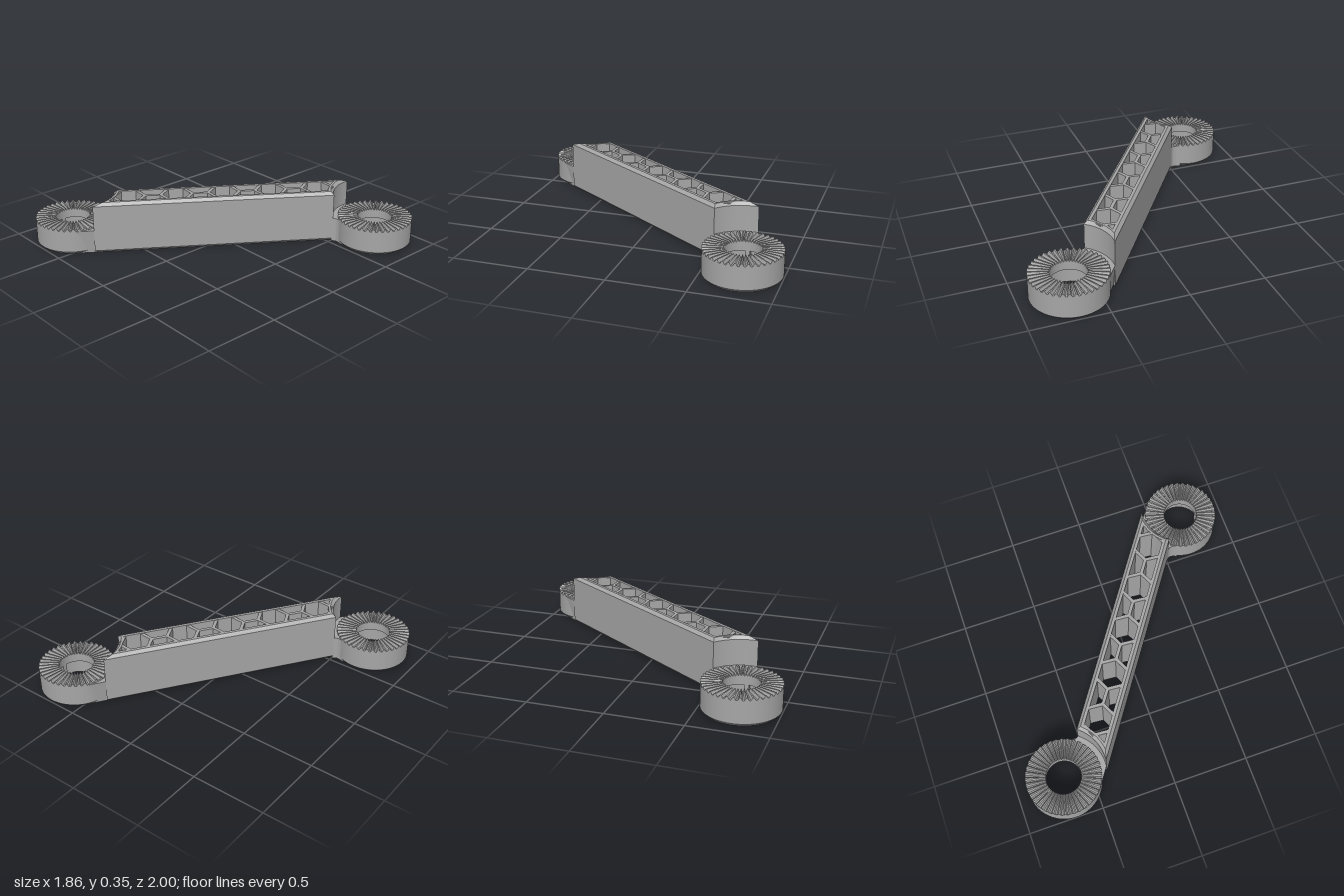
import * as THREE from 'three';
import { toCreasedNormals } from 'three/addons/utils/BufferGeometryUtils.js';

// Local frame: x runs along the arm, z across it; the whole is turned at the end.
const H = 0.355, W = 0.117, C = 0.02;         // arm height, half width, chamfer
const RX = 1.008, RZ = 0.13, R = 0.247;       // ring centre and outer radius
const HOLE = 0.115, BORE = 0.15, BORE_TOP = 0.11;
const TEETH = 40, PEAK = 0.184, VALLEY = 0.167;

const arcX = (z, r) => RX - Math.sqrt(r * r - (z - RZ) ** 2);

// Arm outline: straight sides, ends scooped out around the rings
function outline(w, r, n = 18) {
  const end = [];
  for (let i = 0; i <= n; i++) {
    const z = -w + (2 * w * i) / n;
    end.push([arcX(z, r), z]);
  }
  return [...end, ...end.map(([x, z]) => [-x, -z])];
}

// Hollow frame: outlines stacked up the outside and down the inside
function frameGeometry() {
  const rings = [
    [W - C, 0.283, 0], [W, 0.283, C], [W, 0.283, H - C],
    [W - C, 0.283 + C, H], [0.077, 0.318, H], [0.077, 0.318, 0],
  ];
  const pos = [], idx = [];
  let n = 0;
  for (const [w, r, y] of rings) {
    const loop = outline(w, r);
    n = loop.length;
    for (const [x, z] of loop) pos.push(x, y, z);
  }
  for (let k = 0; k < rings.length; k++) {
    const lo = k * n, hi = ((k + 1) % rings.length) * n;
    for (let j = 0; j < n; j++) {
      const m = (j + 1) % n;
      idx.push(lo + j, hi + j, lo + m, lo + m, hi + j, hi + m);
    }
  }
  const g = new THREE.BufferGeometry();
  g.setAttribute('position', new THREE.Float32BufferAttribute(pos, 3));
  g.setIndex(idx);
  return toCreasedNormals(g, 0.5);
}

// Ring with a counterbore below and radial teeth on top
function ringGeometry() {
  const profile = [
    [BORE, 0], [R - C, 0], [R, C], [R, PEAK], [HOLE, PEAK],
    [HOLE, BORE_TOP], [BORE, BORE_TOP], [BORE, 0],
  ].map(([x, y]) => new THREE.Vector2(x, y));
  const g = new THREE.LatheGeometry(profile, TEETH * 4);
  const p = g.attributes.position;
  for (let v = 0; v < p.count; v++) {
    const step = Math.floor(v / profile.length) % 4;
    if (p.getY(v) > 0.17) p.setY(v, step < 2 ? PEAK : VALLEY);
  }
  return toCreasedNormals(g, 0.5);
}

// Low web joining arm and ring: tangent on one side, filleted on the other
function webGeometry() {
  const top = 0.165, s = new THREE.Shape();
  s.moveTo(RX, -W);
  s.lineTo(arcX(-W, 0.285), -W);
  for (let i = 1; i <= 12; i++) {
    const z = -W + (2 * W * i) / 12;
    s.lineTo(arcX(z, 0.29), z);
  }
  s.quadraticCurveTo(0.761, W, arcX(0.175, R), 0.175);
  for (let i = 0; i <= 12; i++) {
    const z = 0.175 - (0.265 * i) / 12;
    s.lineTo(arcX(z, 0.2205), z);
  }
  const g = new THREE.ExtrudeGeometry(s, { depth: top, bevelEnabled: false, steps: 1, curveSegments: 8 });
  g.rotateX(Math.PI / 2).translate(0, top, 0);
  // Step the chamfer in along the bottom edge
  const p = g.attributes.position;
  for (let v = 0; v < p.count; v++) {
    if (p.getY(v) < 0.001) p.setZ(v, Math.max(p.getZ(v), C - W));
  }
  return toCreasedNormals(g, 0.5);
}

export function createModel() {
  const grey = new THREE.MeshStandardMaterial({ color: 0xa6a6a6 });
  grey.name = 'grey';

  const model = new THREE.Group();
  model.name = 'serratedArm';
  const body = new THREE.Group();
  body.name = 'body';
  model.add(body);

  const add = (parent, name, geometry) => {
    const m = new THREE.Mesh(geometry, grey);
    m.name = name;
    parent.add(m);
    return m;
  };

  add(body, 'armFrame', frameGeometry());

  // Honeycomb struts inside the frame
  const honeycomb = new THREE.Group();
  honeycomb.name = 'honeycomb';
  body.add(honeycomb);
  const strut = (x, z, angle, length) => {
    const g = new THREE.BoxGeometry(length, H - 0.008, 0.022);
    g.translate(length / 2, H / 2, 0);
    const m = add(honeycomb, 'strut', g);
    m.position.set(x, 0, z);
    m.rotation.y = angle;
  };
  const side = 0.105;
  for (const dir of [1, -1]) {
    const turn = dir > 0 ? 0 : Math.PI;
    for (const k of [1, 4]) strut(dir * k * side, 0, turn, side);
    for (const k of [1, 2, 4, 5, 7]) {
      // branches lean away from the link that ends at this node
      const lean = k % 3 === 1 ? (2 * Math.PI) / 3 : Math.PI / 3;
      for (const a of [lean, -lean]) strut(dir * k * side, 0, turn + a, 0.1);
    }
  }

  // Toothed ends, the second a half turn of the first
  const ring = ringGeometry(), web = webGeometry();
  for (const [name, turn] of [['backEnd', 0], ['frontEnd', Math.PI]]) {
    const end = new THREE.Group();
    end.name = name;
    end.rotation.y = turn;
    body.add(end);
    add(end, 'toothedRing', ring).position.set(RX, 0, RZ);
    add(end, 'web', web);
    // Small keys inside the counterbore
    for (const a of [0, Math.PI]) {
      const key = add(end, 'key', new THREE.BoxGeometry(0.037, 0.1, 0.03).translate(0.1355, 0.062, 0));
      key.position.set(RX, 0, RZ);
      key.rotation.y = a - 0.965;
    }
  }

  body.rotation.y = 0.965;
  return model;
}
